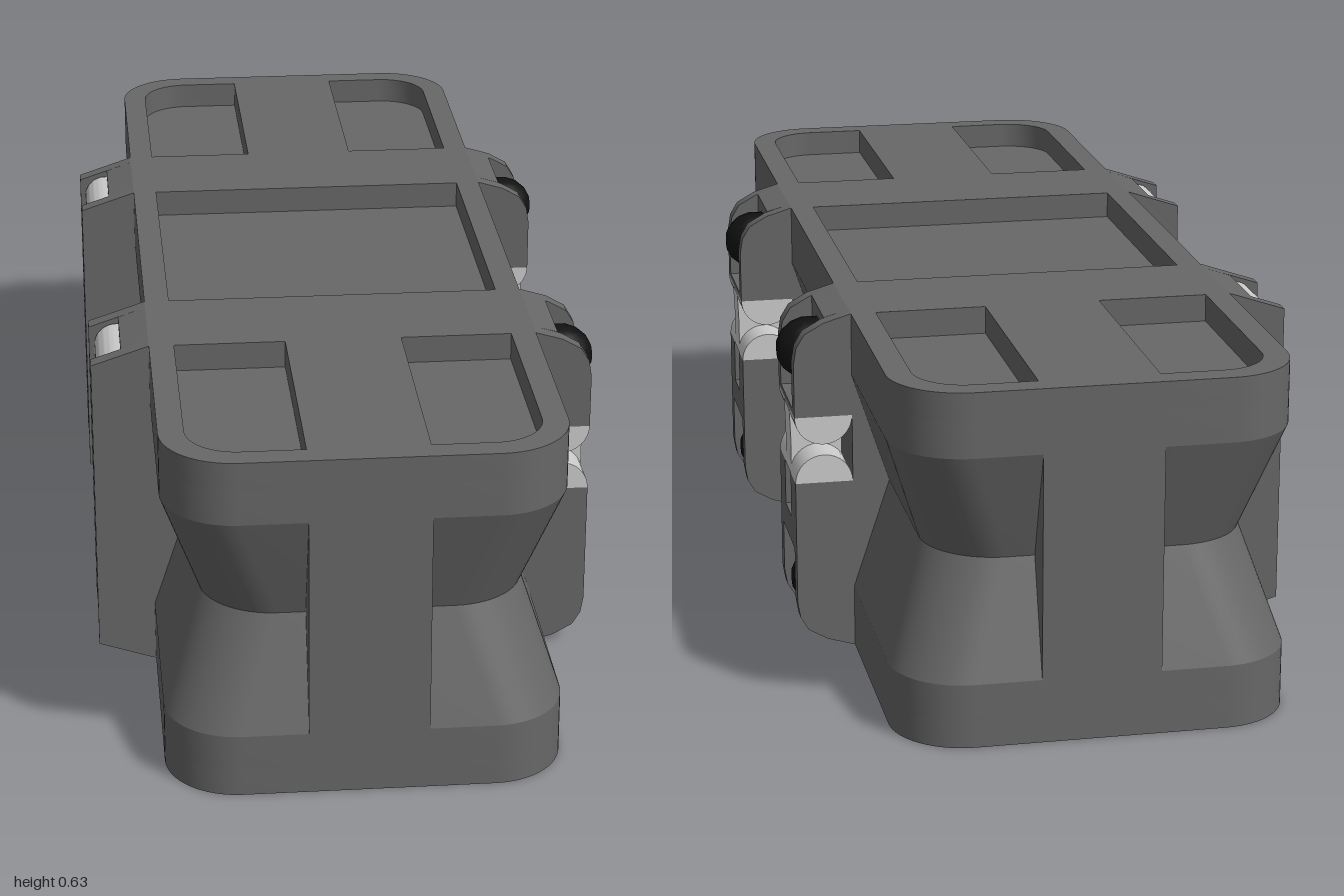
import * as THREE from 'three';
import { toCreasedNormals } from 'three/addons/utils/BufferGeometryUtils.js';

const H = 0.635, CX = -0.01, POCKET = 0.05;
const material = (color) => new THREE.MeshStandardMaterial({ color });

function roundedRect(target, x0, x1, y0, y1, r) {
  // r: corner radii in the order [x0y0, x1y0, x1y1, x0y1]
  const [a, b, c, d] = r, P = Math.PI;
  const corner = (x, y, rad, from) =>
    rad ? target.absarc(x, y, rad, from, from + P / 2, false) : target.lineTo(x, y);
  target.moveTo(x0, y0 + a);
  corner(x0 + a, y0 + a, a, P);
  corner(x1 - b, y0 + b, b, 1.5 * P);
  corner(x1 - c, y1 - c, c, 0);
  corner(x0 + d, y1 - d, d, P / 2);
  target.closePath();
  return target;
}

const outline = () => roundedRect(new THREE.Shape(), -0.35, 0.35, -1, 1, [0.13, 0.13, 0.13, 0.13]);
const polygon = (pts) => new THREE.Shape(pts.map(([x, y]) => new THREE.Vector2(x, y)));

export function createModel() {
  const model = new THREE.Group();
  const dark = material(0x676767), light = material(0xcccccc), black = material(0x111111);

  function add(parent, name, geometry, mat, x = 0, y = 0, z = 0) {
    const mesh = new THREE.Mesh(geometry, mat);
    mesh.name = name;
    mesh.position.set(x, y, z);
    parent.add(mesh);
    return mesh;
  }
  const extrude = (shape, depth, steps = 1) =>
    new THREE.ExtrudeGeometry(shape, { depth, steps, bevelEnabled: false, curveSegments: 8 });
  // Extrude an xy profile between two z values
  const slice = (parent, name, shape, z0, z1, mat) =>
    add(parent, name, toCreasedNormals(extrude(shape, z1 - z0), 0.6), mat, 0, 0, z0);

  // Waisted case body: an extrusion whose levels are moved inwards
  const levels = [[POCKET, 0], [0.115, 0], [H / 2, 0.067], [0.52, 0], [H - POCKET, 0]];
  const core = extrude(outline(), 1, levels.length - 1);
  const p = core.attributes.position;
  for (let i = 0; i < p.count; i++) {
    const [y, inset] = levels[Math.round(p.getZ(i) * (levels.length - 1))];
    const x = p.getX(i), z = p.getY(i);
    p.setXYZ(i, x - Math.sign(x) * inset, z - Math.sign(z) * inset, y);
  }
  core.rotateX(-Math.PI / 2);
  add(model, 'body', toCreasedNormals(core, 0.3), dark, CX);

  // Top and bottom rims with the recessed panels cut through them
  const rim = outline();
  const hole = (...args) => rim.holes.push(roundedRect(new THREE.Path(), ...args));
  hole(-0.305, 0.305, -0.287, 0.287, [0, 0, 0, 0]);
  hole(-0.305, -0.105, 0.497, 0.955, [0, 0, 0, 0.09]);
  hole(0.105, 0.305, 0.497, 0.955, [0, 0, 0.09, 0]);
  hole(-0.305, -0.105, -0.955, -0.497, [0.09, 0, 0, 0]);
  hole(0.105, 0.305, -0.955, -0.497, [0, 0.09, 0, 0]);
  const rimGeometry = toCreasedNormals(extrude(rim, POCKET).rotateX(-Math.PI / 2), 0.5);
  add(model, 'bottomRim', rimGeometry, dark, CX, 0);
  add(model, 'topRim', rimGeometry, dark, CX, H - POCKET);

  // Upright pillars at both ends
  for (const s of [1, -1])
    add(model, 'endPillar', new THREE.BoxGeometry(0.21, 0.405, 0.15), dark, CX, 0.3175, s * 0.925);

  // Band profile on the latch side
  const latchProfile = (pocket, notchBottom) => polygon([
    [0.25, 0.6], [0.25, 0.035], [0.34, 0],
    ...(pocket
      ? [[0.385, 0.013], [0.385, 0.185], [0.445, 0.185]]
      : [[0.39, 0.015], [0.425, 0.035], [0.44, 0.06], [0.445, 0.09]]),
    [0.445, notchBottom], [0.34, notchBottom], [0.34, 0.445], [0.445, 0.445],
    ...(pocket
      ? [[0.445, 0.455], [0.385, 0.455], [0.385, 0.622]]
      : [[0.445, 0.545], [0.44, 0.575], [0.425, 0.6], [0.39, 0.62]]),
    [0.34, H],
  ]);
  // Band profile on the strap side
  const strapProfile = (x, y) => polygon([
    [-0.27, 0.6], [-0.36, H], [x, H - y], [x, y], [-0.36, 0], [-0.27, 0.035],
  ]);

  // Domed bolt, turned around x
  const bolt = new THREE.LatheGeometry(
    [[0.057, 0], [0.057, 0.028], [0.05, 0.048], [0.035, 0.066], [0.018, 0.075], [0, 0.077]]
      .map(([r, h]) => new THREE.Vector2(r, h)), 20).rotateZ(-Math.PI / 2);

  // Latch strap with rounded outer ends
  const strap = new THREE.Shape();
  strap.moveTo(-0.4, 0.03);
  strap.lineTo(-0.4, 0.607);
  strap.lineTo(-0.415, 0.607);
  strap.absarc(-0.415, 0.567, 0.04, Math.PI / 2, Math.PI, false);
  strap.lineTo(-0.455, 0.07);
  strap.absarc(-0.415, 0.07, 0.04, Math.PI, 1.5 * Math.PI, false);
  strap.closePath();

  const upperBar = new THREE.Shape().absarc(0.3925, 0.445, 0.0525, Math.PI, 2 * Math.PI, false);
  const lowerBar = new THREE.Shape().absarc(0.3925, 0.32, 0.0525, 0, Math.PI, false);
  const tongue = polygon([
    [0.35, 0.44], [0.445, 0.44], [0.443, 0.385], [0.443, 0.325], [0.43, 0.27], [0.35, 0.27],
  ]);

  for (const s of [1, -1]) {
    const band = new THREE.Group();
    band.name = s > 0 ? 'frontBand' : 'backBand';
    band.position.z = s * 0.392;
    model.add(band);

    // Latch side: solid cheeks, bolt pockets, centre slot
    for (const m of [1, -1]) {
      const cheek = [m * 0.075, m * 0.105].sort((a, b) => a - b);
      const inner = [m * 0.037, m * 0.075].sort((a, b) => a - b);
      slice(band, 'latchCheek', latchProfile(false, 0.32), ...cheek, dark);
      slice(band, 'latchPocket', latchProfile(true, 0.32), ...inner, dark);
      slice(band, 'strapCheek', strapProfile(-0.465, 0.035), ...cheek, dark);
    }
    slice(band, 'latchSlot', latchProfile(true, 0.235), -0.037, 0.037, dark);
    slice(band, 'strapChannel', strapProfile(-0.41, 0.017), -0.075, 0.075, dark);

    // Hinge bars and tongue
    slice(band, 'upperHingeBar', upperBar, -0.105, 0.105, light);
    slice(band, 'lowerHingeBar', lowerBar, -0.105, 0.105, light);
    slice(band, 'hingeTongue', tongue, -0.035, 0.035, light);

    // Bolts, the lower one set deeper
    add(band, 'upperBolt', bolt, black, 0.385, 0.545);
    add(band, 'lowerBolt', bolt, black, 0.365, 0.1);

    // Strap and its round end button
    slice(band, 'strap', strap, -0.07, 0.07, light);
    const button = new THREE.CylinderGeometry(0.055, 0.055, 0.02, 28).rotateZ(Math.PI / 2);
    add(band, 'strapButton', button, light, -0.452, 0.105);
  }
  return model;
}
